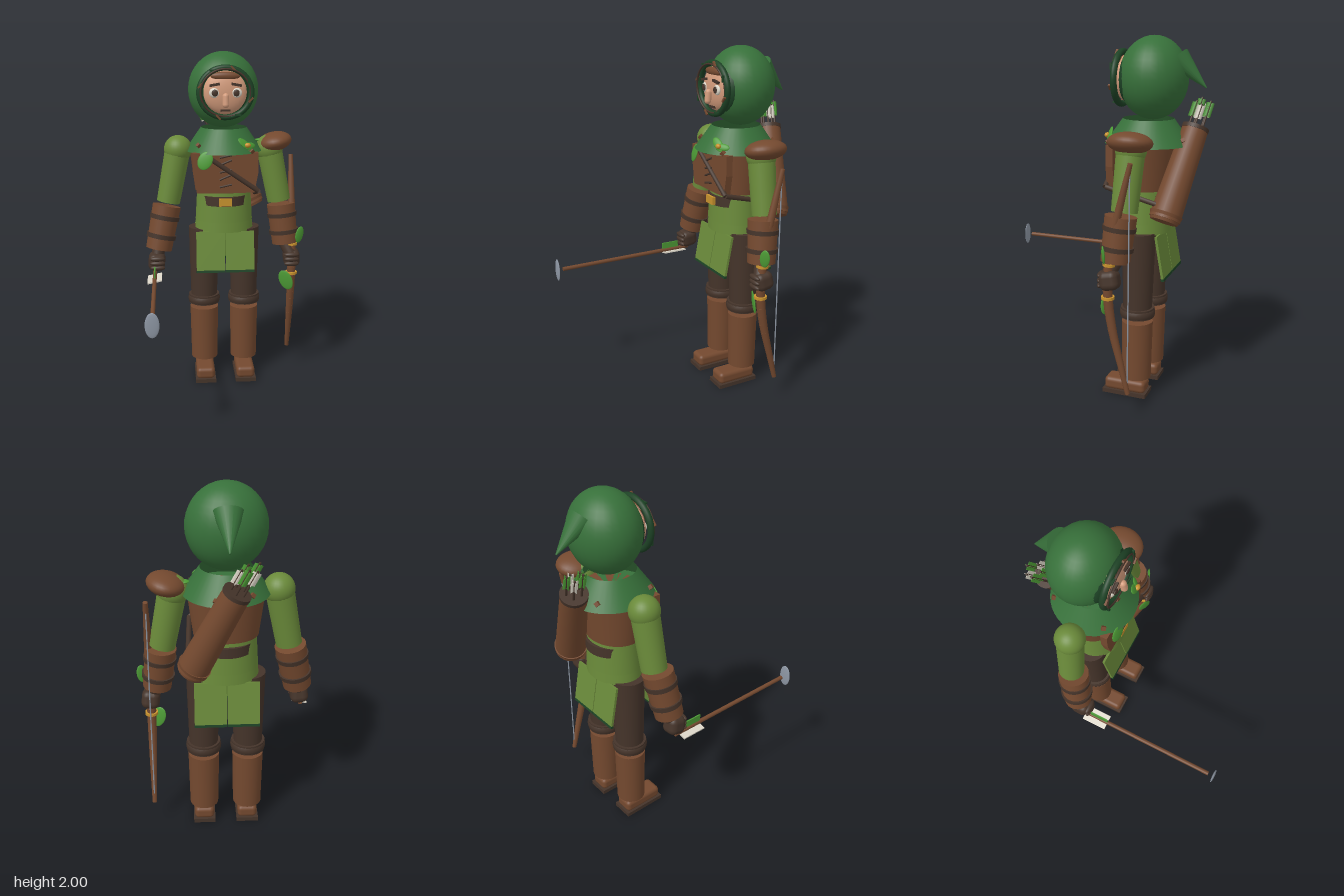
import * as THREE from 'three';
import { RoundedBoxGeometry } from 'three/addons/geometries/RoundedBoxGeometry.js';

const mat = (name, color, side = THREE.FrontSide) => {
  const m = new THREE.MeshStandardMaterial({ color, side });
  m.name = name;
  return m;
};

export function createModel() {
  const hood = mat('hoodGreen', 0x37703a, THREE.DoubleSide);
  const tunic = mat('tunicGreen', 0x6a8a3a);
  const leather = mat('leather', 0x74492f);
  const dark = mat('darkBrown', 0x45342a);
  const skin = mat('skin', 0xd49c7c);
  const leafGreen = mat('leafGreen', 0x4c9a35);
  const gold = mat('gold', 0xc8922e);
  const steel = mat('steel', 0x8d96a3);
  const cream = mat('cream', 0xdcd6c8);
  const shade = mat('shadeGreen', 0x1d4225);

  const root = new THREE.Group();
  root.name = 'archer';
  const body = new THREE.Group();
  body.name = 'figure';
  body.position.set(-0.011, 0, -0.32);
  root.add(body);

  const V = (p) => new THREE.Vector3(...p);
  const add = (name, geo, m, pos = [0, 0, 0], rot = [0, 0, 0], scale = [1, 1, 1]) => {
    const mesh = new THREE.Mesh(geo, m);
    mesh.name = name;
    mesh.position.set(...pos);
    mesh.rotation.set(...rot);
    mesh.scale.set(...scale);
    body.add(mesh);
    return mesh;
  };
  const box = (name, m, size, pos, rot) => add(name, new THREE.BoxGeometry(...size), m, pos, rot);
  const ball = (name, m, pos, r, rot) => add(name, new THREE.SphereGeometry(1, 28, 20), m, pos, rot, r);
  // tapered cylinder from a to b
  const rod = (name, m, a, b, ra, rb = ra, seg = 24) => {
    const d = V(b).sub(V(a));
    const mesh = add(name, new THREE.CylinderGeometry(rb, ra, d.length(), seg), m);
    mesh.position.copy(V(a)).addScaledVector(d, 0.5);
    mesh.quaternion.setFromUnitVectors(new THREE.Vector3(0, 1, 0), d.normalize());
    return mesh;
  };
  const mix = (a, b, t) => a.map((v, i) => v + (b[i] - v) * t);
  // elliptical drum between two heights
  const drum = (name, m, y0, y1, r0, r1, depth, z = 0, open = false) =>
    add(name, new THREE.CylinderGeometry(r1, r0, y1 - y0, 40, 1, open), m, [0, (y0 + y1) / 2, z], [0, 0, 0], [1, 1, depth]);
  const leaf = (name, pos, w, h, rot) => ball(name, leafGreen, pos, [w, h, 0.008], rot);

  // hood, its drooping point and shoulder cape
  ball('hood', hood, [0, 1.78, -0.03], [0.207, 0.22, 0.185]);
  const point = rod('hoodPoint', hood, [0, 1.885, -0.16], [0, 1.735, -0.315], 0.075, 0.004, 20);
  point.scale.z = 0.85;
  drum('cape', hood, 1.43, 1.565, 0.228, 0.135, 1.03, -0.005, true);
  drum('capeLining', hood, 1.43, 1.45, 0.226, 0.214, 1.03, -0.005);

  // face opening
  const fy = 1.775;
  ball('hoodOpening', shade, [0, fy, 0.09], [0.15, 0.145, 0.06]);
  add('hoodRim', new THREE.TorusGeometry(0.148, 0.018, 12, 48), shade, [0, fy, 0.145], [0, 0, 0], [1, 0.94, 1]);
  add('vine', new THREE.TorusGeometry(0.148, 0.006, 8, 48), dark, [0, fy, 0.163], [0.04, 0.04, 0], [0.96, 0.9, 1]);
  for (let i = 0; i < 8; i++) {
    const a = (i / 8) * Math.PI * 2 + 0.5;
    box('vineTwig', i % 2 ? leather : shade, [0.035, 0.01, 0.012], [0.15 * Math.cos(a), fy + 0.142 * Math.sin(a), 0.165], [0, 0, a + 1.1]);
  }
  ball('face', skin, [0, fy, 0.12], [0.125, 0.125, 0.05]);
  ball('hairFringe', leather, [0, fy + 0.092, 0.142], [0.085, 0.025, 0.022]);
  for (const s of [-1, 1]) {
    ball('eyeWhite', cream, [s * 0.063, fy, 0.16], [0.031, 0.028, 0.012]);
    ball('pupil', dark, [s * 0.061, fy, 0.171], [0.018, 0.019, 0.006]);
    box('eyebrow', dark, [0.058, 0.014, 0.014], [s * 0.062, fy + 0.045, 0.167], [0, 0, -s * 0.18]);
  }
  add('nose', new THREE.CapsuleGeometry(0.019, 0.045, 6, 14), skin, [0, fy - 0.042, 0.178], [-0.12, 0, 0]);
  box('mouth', dark, [0.055, 0.012, 0.012], [0, fy - 0.1, 0.15]);

  // torso, vest and lacing
  drum('torso', leather, 1.19, 1.45, 0.172, 0.205, 0.8);
  const vest = new THREE.Shape([[-0.168, 0], [0.168, 0], [0.19, 0.12], [0.19, 0.235], [-0.19, 0.235], [-0.19, 0.12]].map((p) => new THREE.Vector2(...p)));
  add('vestFront', new THREE.ExtrudeGeometry(vest, { depth: 0.04, bevelEnabled: false }), leather, [0, 1.2, 0.13]);
  for (let i = 0; i < 5; i++)
    rod('lace', dark, [-0.035, 1.235 + i * 0.043, 0.172], [0.035, 1.25 + i * 0.043 + (i % 2) * 0.015, 0.172], 0.006, 0.006, 8);
  rod('strap', dark, [-0.13, 1.43, 0.172], [0.19, 1.21, 0.172], 0.014, 0.014, 8);
  rod('strapSide', dark, [0.19, 1.21, 0.17], [0.2, 1.14, -0.12], 0.014, 0.014, 8);

  // tunic, belt and skirt panels
  drum('tunic', tunic, 1.01, 1.21, 0.172, 0.16, 0.82);
  drum('tunicHem', tunic, 0.95, 1.02, 0.176, 0.17, 0.8);
  drum('belt', dark, 1.112, 1.168, 0.15, 0.15, 1);
  box('buckle', gold, [0.075, 0.045, 0.02], [0, 1.14, 0.155]);
  for (const z of [-1, 1]) for (const x of [-1, 1]) {
    const rot = [-z * 0.18, 0, 0];
    box('skirtPanel', tunic, [0.171, 0.24, 0.014], [x * 0.088, 0.835, z * 0.132], rot);
    box('skirtHem', shade, [0.172, 0.014, 0.017], [x * 0.088, 0.716, z * 0.1535], rot);
  }

  // legs and boots
  for (const s of [-1, 1]) {
    const x = s * 0.124;
    rod('thigh', dark, [x, 0.52, 0], [x * 0.98, 0.96, 0], 0.08, 0.093);
    rod('kneeCuff', dark, [x, 0.475, 0], [x, 0.53, 0], 0.094, 0.094);
    add('kneeRoll', new THREE.TorusGeometry(0.085, 0.014, 10, 28), dark, [x, 0.5, 0], [Math.PI / 2, 0, 0], [1, 1, 2]);
    rod('bootShaft', leather, [x, 0.11, 0], [x, 0.447, 0], 0.081, 0.087);
    box('sole', dark, [0.125, 0.024, 0.255], [x, 0.012, 0.057]);
    add('shoe', new RoundedBoxGeometry(0.112, 0.072, 0.24, 3, 0.024), leather, [x, 0.055, 0.057]);
  }

  // arms
  for (const s of [-1, 1]) {
    const end = s < 0 ? [-0.398, 0.84, 0.06] : [0.372, 0.86, 0.045];
    const elbow = [s * 0.345, 1.1, 0.025];
    ball('shoulder', tunic, [s * 0.272, 1.435, 0], [0.083, 0.083, 0.083]);
    rod('upperArm', tunic, [s * 0.335, 1.12, 0.01], [s * 0.272, 1.44, 0], 0.07, 0.076);
    rod('forearmCuff', leather, end, elbow, 0.078, 0.085);
    for (const t of [0.27, 0.7]) rod('cuffBand', dark, mix(elbow, end, t - 0.05), mix(elbow, end, t + 0.05), 0.09, 0.088);
    const hx = s < 0 ? -0.412 : 0.411;
    rod('wrist', dark, [hx, 0.78, 0.08], end, 0.035, 0.04);
    add('hand', new RoundedBoxGeometry(0.1, 0.105, 0.105, 3, 0.035), dark, [hx, 0.77, s < 0 ? 0.085 : 0.06], [0.2, 0, s * 0.1]);
    for (let i = 0; i < 3; i++)
      ball('finger', dark, [hx - s * 0.005, 0.74 + i * 0.028, s < 0 ? 0.135 : 0.108], [0.045, 0.016, 0.018]);
  }
  ball('pauldron', leather, [0.305, 1.475, -0.005], [0.102, 0.056, 0.12], [0, 0, 0.2]);
  leaf('pauldronLeaf', [0.215, 1.485, -0.005], 0.03, 0.025, [Math.PI / 2, 0, 0.5]);

  // quiver with spare arrows
  const q0 = [0.18, 1.06, -0.16], q1 = [-0.04, 1.52, -0.255];
  rod('quiver', leather, q0, q1, 0.085, 0.07);
  rod('quiverBase', leather, mix(q0, q1, -0.03), mix(q0, q1, 0.06), 0.075, 0.09);
  rod('quiverRim', dark, mix(q0, q1, 0.97), mix(q0, q1, 1.01), 0.073, 0.073);
  for (let i = 0; i < 5; i++) {
    const a = i * 1.257;
    const shift = (p) => [p[0] + 0.04 * Math.cos(a), p[1], p[2] + 0.04 * Math.sin(a)];
    const from = shift(mix(q0, q1, 0.95)), to = shift(mix(q0, q1, 1.27 + 0.03 * (i % 3)));
    rod('spareArrow', dark, from, to, 0.006, 0.006, 8);
    for (const k of [0, 1]) {
      const f = rod('spareFletching', i % 3 ? leafGreen : cream, mix(from, to, 0.5), mix(from, to, 0.95), 0.022, 0.022, 4);
      f.scale.set(k ? 0.1 : 1, 1, k ? 1 : 0.1);
    }
  }

  // arrow held in the right hand
  const ax = -0.424, ay = 0.705;
  rod('arrowShaft', leather, [ax, ay, 0.08], [ax, ay, 0.92], 0.012, 0.012, 12);
  ball('arrowHead', steel, [ax, ay, 0.953], [0.037, 0.067, 0.007]);
  box('arrowFletchingFlat', cream, [0.086, 0.008, 0.145], [ax, 0.692, 0.185], [0, 0, 0.2]);
  box('arrowFletchingUpright', leafGreen, [0.008, 0.045, 0.11], [ax, 0.73, 0.205]);

  // bow in the left hand
  const bx = 0.411;
  const bowPath = [[1.39, -0.045], [1.2, 0.0], [1.0, 0.045], [0.85, 0.065], [0.68, 0.07], [0.5, 0.045], [0.3, -0.005], [0.14, -0.045]];
  const curve = new THREE.CatmullRomCurve3(bowPath.map(([y, z]) => new THREE.Vector3(bx, y, z)));
  const steps = 24;
  for (let i = 0; i < steps; i++) {
    const r = (t) => 0.013 + 0.013 * Math.sin(Math.PI * t);
    const [t0, t1] = [i / steps, (i + 1) / steps];
    rod('bowLimb', leather, curve.getPointAt(t0).toArray(), curve.getPointAt(t1).toArray(), r(t0), r(t1), 12);
  }
  rod('bowString', steel, [bx, 0.15, -0.042], [bx, 1.38, -0.042], 0.004, 0.004, 6);
  rod('gripBandTop', gold, [bx, 0.848, 0.065], [bx, 0.862, 0.064], 0.034);
  rod('gripBandBottom', gold, [bx, 0.665, 0.07], [bx, 0.68, 0.07], 0.036);
  leaf('bowLeafTop', [0.455, 0.915, 0.08], 0.03, 0.052, [0.1, 0.5, -0.2]);
  leaf('bowLeafBottom', [0.375, 0.63, 0.09], 0.042, 0.065, [0.1, -0.4, 0.4]);

  // leaves, berry and burrs on the cape
  leaf('capeLeaf', [-0.12, 1.395, 0.195], 0.042, 0.055, [-0.2, -0.2, -0.5]);
  leaf('capeSprig', [0.11, 1.485, 0.175], 0.05, 0.024, [-0.6, 0.5, -0.5]);
  leaf('capeSprig', [0.14, 1.475, 0.165], 0.04, 0.02, [-0.6, 0.6, 0.3]);
  ball('berry', gold, [0.125, 1.48, 0.185], [0.018, 0.014, 0.014]);
  for (const [x, y, z] of [[-0.155, 1.475, 0.135], [0.15, 1.445, 0.17], [-0.12, 1.47, -0.175], [0.06, 1.46, -0.215]])
    box('burr', leather, [0.022, 0.022, 0.022], [x, y, z], [0.4, 0.5, 0.6]);

  return root;
}
